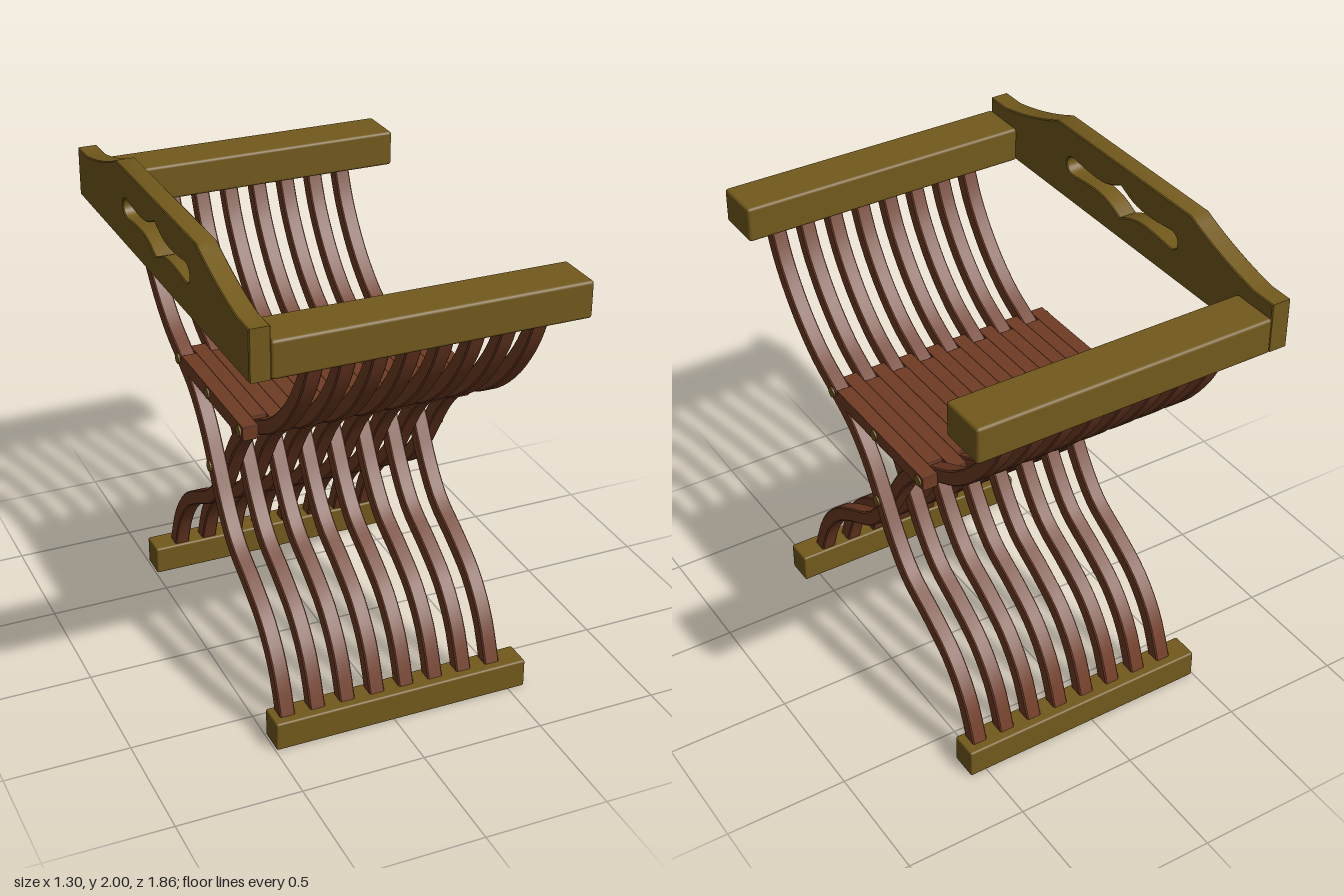
import * as THREE from 'three';
import { toCreasedNormals } from 'three/addons/utils/BufferGeometryUtils.js';
import { RoundedBoxGeometry } from 'three/addons/geometries/RoundedBoxGeometry.js';

const SLATS = 16, PITCH = 1 / SLATS, X0 = -0.465, X1 = 0.535;
const V = (z, y) => new THREE.Vector2(z, y);

// Extrude a (z, y) profile sideways, centred on x = 0
function sideProfile(shape, width, bevel, curveSegments = 8) {
  const g = new THREE.ExtrudeGeometry(shape, {
    depth: width - 2 * bevel, curveSegments,
    bevelEnabled: true, bevelThickness: bevel, bevelSize: bevel, bevelOffset: -bevel, bevelSegments: 1,
  });
  g.translate(0, 0, bevel - width / 2);
  g.rotateY(-Math.PI / 2);
  return toCreasedNormals(g, 0.6);
}

// S-curved slat: offset a spline to both sides
function slatShape(half) {
  const path = new THREE.SplineCurve([
    V(0.825, 1.74), V(0.80, 1.66), V(0.735, 1.525), V(0.62, 1.375), V(0.48, 1.255), V(0.33, 1.175),
    V(0.2, 1.1), V(0.09, 0.99), V(0, 0.855), V(-0.09, 0.715), V(-0.2, 0.595),
    V(-0.36, 0.505), V(-0.5, 0.41), V(-0.61, 0.27), V(-0.685, 0.08),
  ]);
  const n = 48, left = [], right = [];
  for (let i = 0; i <= n; i++) {
    const p = path.getPoint(i / n), t = path.getTangent(i / n);
    left.push(V(p.x - t.y * half, p.y + t.x * half));
    right.unshift(V(p.x + t.y * half, p.y - t.x * half));
  }
  return new THREE.Shape([...left, ...right]);
}

// Backrest board with a shaped top and a pierced hand hole
function backrestShape() {
  const s = new THREE.Shape();
  s.moveTo(-0.925, 1.685);
  s.lineTo(0.925, 1.685);
  s.lineTo(0.925, 1.885);
  s.lineTo(0.82, 1.885);
  s.quadraticCurveTo(0.62, 1.92, 0.435, 2);
  s.lineTo(-0.435, 2);
  s.quadraticCurveTo(-0.62, 1.92, -0.82, 1.885);
  s.lineTo(-0.925, 1.885);
  s.closePath();
  const h = new THREE.Path();
  h.moveTo(0, 1.915);
  h.bezierCurveTo(-0.1, 1.865, -0.14, 1.86, -0.32, 1.882);
  h.bezierCurveTo(-0.38, 1.885, -0.38, 1.805, -0.32, 1.808);
  h.bezierCurveTo(-0.14, 1.83, -0.1, 1.825, 0, 1.775);
  h.bezierCurveTo(0.1, 1.825, 0.14, 1.83, 0.32, 1.808);
  h.bezierCurveTo(0.38, 1.805, 0.38, 1.885, 0.32, 1.882);
  h.bezierCurveTo(0.14, 1.86, 0.1, 1.865, 0, 1.915);
  s.holes.push(h);
  return s;
}

export function createModel() {
  const chair = new THREE.Group();
  chair.name = 'foldingChair';
  const brown = new THREE.MeshStandardMaterial({ color: 0x6f3b24 });
  const olive = new THREE.MeshStandardMaterial({ color: 0x735a1c });

  const add = (name, geometry, material, x, y, z, parent = chair) => {
    const m = new THREE.Mesh(geometry, material);
    m.name = name;
    m.position.set(x, y, z);
    parent.add(m);
    return m;
  };
  const group = (name) => {
    const g = new THREE.Group();
    g.name = name;
    chair.add(g);
    return g;
  };

  // Interleaved slats: odd ones rise to the front, even ones to the back
  const slats = group('slats'), seat = group('seat');
  const slatGeo = sideProfile(slatShape(0.03), PITCH, 0.005);
  const seatGeo = new RoundedBoxGeometry(PITCH, 0.058, 0.655, 1, 0.002);
  for (let i = 0; i < SLATS; i++) {
    const x = X0 + PITCH * (i + 0.5), odd = i % 2 === 1;
    const geo = odd ? slatGeo : slatGeo.clone().rotateY(Math.PI);
    add(odd ? 'frontSlat' : 'backSlat', geo, brown, x, 0, 0, slats);
    add('seatBar', seatGeo, brown, x, 1.174, odd ? -0.035 : 0.035, seat);
  }

  // Hinge pins across the chair
  const pins = group('hingePins');
  const pinGeo = new THREE.CylinderGeometry(0.022, 0.022, X1 - X0 + 0.014, 16).rotateZ(Math.PI / 2);
  for (const [y, z] of [[1.175, 0.33], [1.175, 0], [1.175, -0.33], [0.855, 0]]) {
    add('hingePin', pinGeo, olive, (X0 + X1) / 2, y, z, pins);
  }

  // Feet and armrests
  const footGeo = new RoundedBoxGeometry(1.065, 0.12, 0.115, 2, 0.008);
  const armGeo = new RoundedBoxGeometry(1.225, 0.145, 0.198, 2, 0.012);
  for (const s of [1, -1]) {
    add(s > 0 ? 'frontFoot' : 'backFoot', footGeo, olive, 0.0375, 0.06, 0.683 * s);
    add(s > 0 ? 'frontArmrest' : 'backArmrest', armGeo, olive, 0.0375, 1.756, 0.83 * s);
  }

  // Backrest
  add('backrest', sideProfile(backrestShape(), 0.08, 0.004, 10), olive, -0.613, 0, 0);
  return chair;
}
